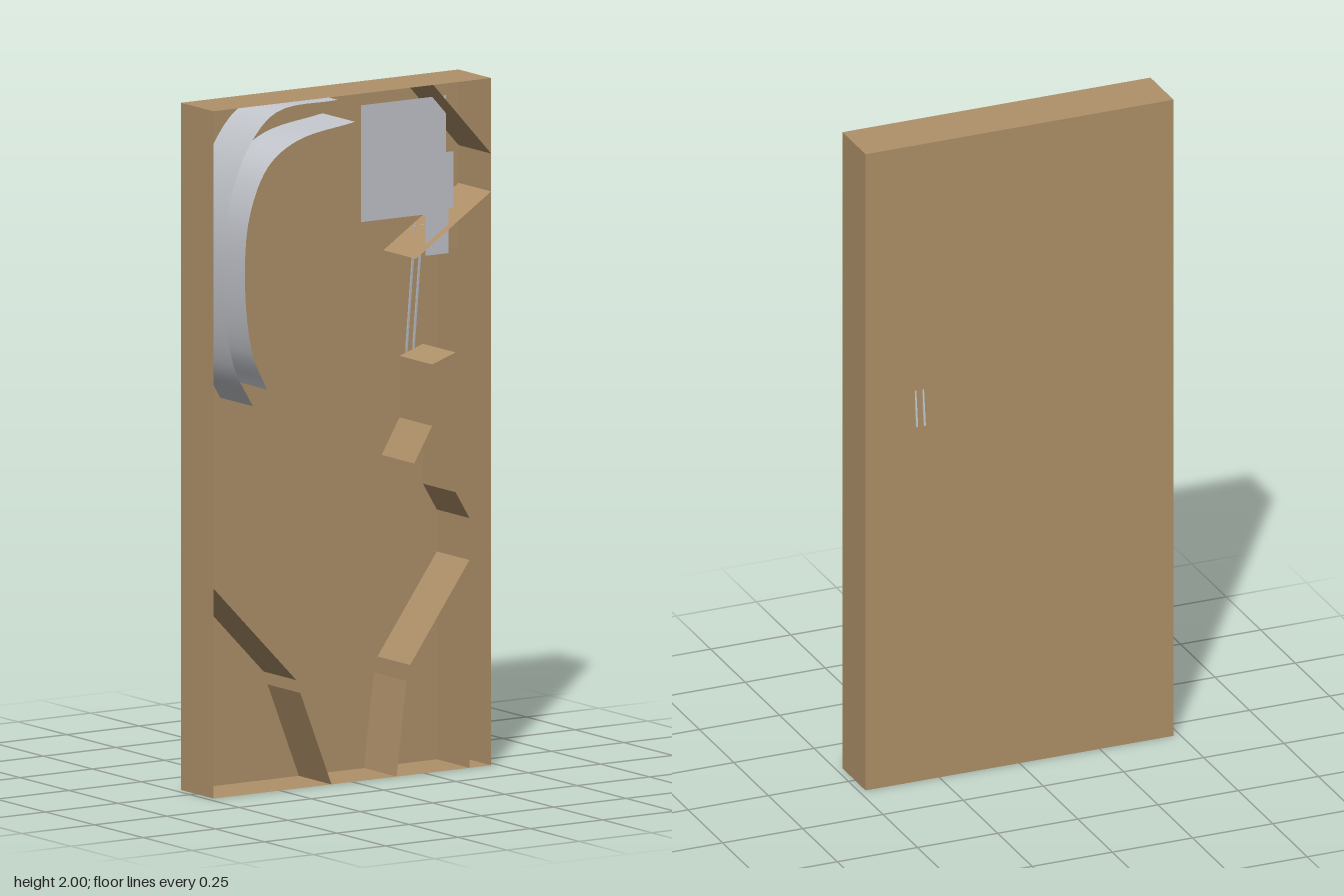
import * as THREE from 'three';

const BACK = -0.077, FRONT = 0.09;

export function createModel() {
  const group = new THREE.Group();
  const wood = new THREE.MeshStandardMaterial({ color: 0xb0926a, side: THREE.DoubleSide });
  wood.name = 'wood';
  const metal = new THREE.MeshStandardMaterial({ color: 0xc3c6cc, side: THREE.DoubleSide });
  metal.name = 'metal';

  const add = (name, geometry, material) => {
    const mesh = new THREE.Mesh(geometry, material);
    mesh.name = name;
    group.add(mesh);
    return mesh;
  };

  // Thin strip that follows a path in x and y and spans the depth of the cabinet
  const strip = (points, segments) => {
    const path = points.map(([x, y]) => new THREE.Vector3(x, y, 0));
    const curve = path.length > 2 ? new THREE.CatmullRomCurve3(path) : new THREE.LineCurve3(...path);
    const geometry = new THREE.PlaneGeometry(1, 1, segments, 1);
    const position = geometry.attributes.position;
    for (let i = 0; i < position.count; i++) {
      const p = curve.getPoint(position.getX(i) + 0.5);
      position.setXYZ(i, p.x, p.y, position.getY(i) > 0 ? FRONT : BACK);
    }
    geometry.computeVertexNormals();
    return geometry;
  };

  // Straight walls with sharp corners
  const walls = (name, points) => {
    for (let i = 1; i < points.length; i++) {
      add(name, strip([points[i - 1], points[i]], 1), wood);
    }
  };

  // Open-fronted cabinet
  add('backPanel', new THREE.PlaneGeometry(0.96, 2).translate(0, 1, BACK), wood);
  walls('cabinetWall', [[-0.48, 0], [0.48, 0], [0.48, 2], [-0.48, 2], [-0.48, 0]]);

  // Lane and guide walls
  walls('cornerDeflector', [[0.28, 2], [0.48, 1.78]]);
  walls('laneWall', [[0.405, 0], [0.405, 1.5]]);
  walls('laneGuide', [[0.22, 1.5], [0.48, 1.67]]);
  walls('sideChannelInner', [[0.214, 0.905], [0.276, 1.008], [0.276, 1.187]]);
  walls('sideChannelOuter', [[0.276, 1.187], [0.357, 1.214], [0.357, 0.807], [0.405, 0.727]]);
  walls('rightRamp', [[0.2, 0.32], [0.405, 0.605]]);
  walls('leftRamp', [[-0.194, 0.316], [-0.48, 0.611]]);
  walls('rightDrainWall', [[0.187, 0.275], [0.153, 0]]);
  walls('leftDrainWall', [[-0.18, 0.277], [-0.072, 0]]);

  // Pair of curved metal rails
  add('outerRail', strip([[-0.344, 1.128], [-0.41, 1.25], [-0.446, 1.48], [-0.43, 1.7],
    [-0.36, 1.88], [-0.262, 1.975], [-0.05, 1.99]], 36), metal);
  add('innerRail', strip([[-0.296, 1.172], [-0.345, 1.28], [-0.371, 1.48], [-0.355, 1.68],
    [-0.29, 1.82], [-0.19, 1.885], [0.01, 1.92]], 36), metal);

  // Flat metal plates
  add('largePlate', new THREE.PlaneGeometry(0.295, 0.34).translate(0.226, 1.78, 0.017), metal);
  const outline = [[0.253, 1.795], [0.253, 1.63], [0.27, 1.63], [0.27, 1.5],
    [0.35, 1.5], [0.35, 1.63], [0.367, 1.63], [0.367, 1.795]];
  const shape = new THREE.Shape(outline.map(([x, y]) => new THREE.Vector2(x, y)));
  add('steppedPlate', new THREE.ShapeGeometry(shape).translate(0, 0, 0.065), metal);

  // Slim pins that lean back through the panel
  for (const x of [0.3, 0.324]) {
    const pin = add('pin', new THREE.BoxGeometry(0.005, 0.455, 0.006), metal);
    pin.position.set(x, 1.345, -0.06);
    pin.rotation.x = 0.12;
  }

  return group;
}
